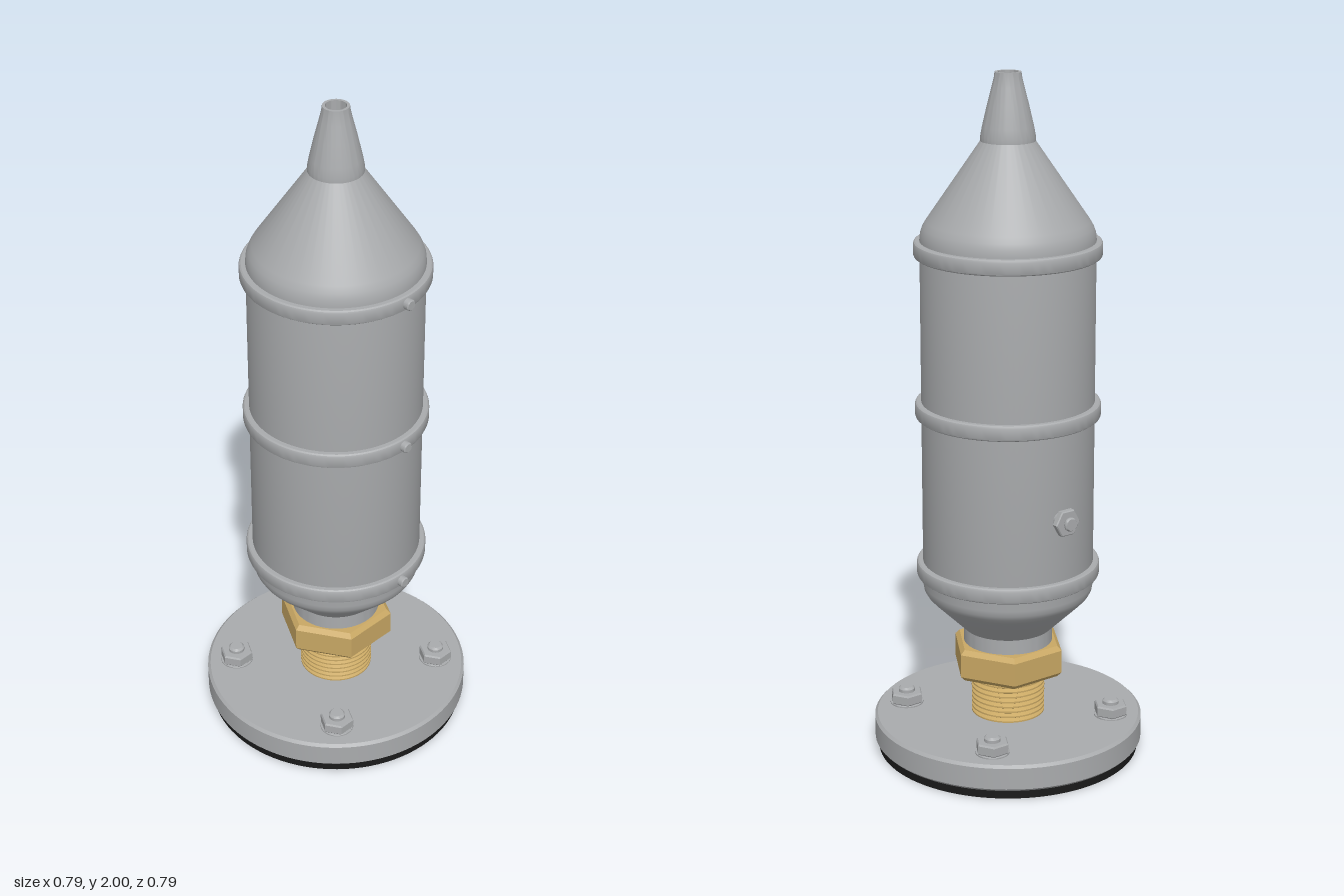
import * as THREE from 'three';
import { toCreasedNormals } from 'three/addons/utils/BufferGeometryUtils.js';

const steel = new THREE.MeshStandardMaterial({ color: 0xa9abad });
steel.name = 'steel grey';
const brass = new THREE.MeshStandardMaterial({ color: 0xc9a864 });
brass.name = 'brass';
const rubber = new THREE.MeshStandardMaterial({ color: 0x1a1a1a });
rubber.name = 'black rubber';

// Turned part from [radius, y] pairs, outside surface running upward
function turned(name, profile, material, segments = 64) {
  const points = profile.map(([r, y]) => new THREE.Vector2(r, y));
  const lathe = new THREE.LatheGeometry(points, segments);
  const mesh = new THREE.Mesh(toCreasedNormals(lathe, 0.5), material);
  mesh.name = name;
  return mesh;
}

// Solid disc or, with few segments, a nut, with chamfered rims; base on y = 0
function chamfered(name, r, h, c, material, segments = 64) {
  return turned(name, [[0, 0], [r - c, 0], [r, c], [r, h - c], [r - c, h], [0, h]], material, segments);
}

// Hexagonal nut, corners on the z axis; chamfer is wide and shallow
function hexNut(name, r, h, material) {
  const e = h * 0.14, k = r * 0.92;
  return turned(name, [[0, 0], [k, 0], [r, e], [r, h - e], [k, h], [0, h]], material, 6);
}

export function createModel() {
  const model = new THREE.Group();
  model.name = 'canister';

  // Base: rubber pad and flange
  model.add(turned('rubberPad', [[0, 0], [0.385, 0], [0.385, 0.028], [0, 0.028]], rubber, 96));
  const flange = chamfered('flange', 0.396, 0.08, 0.008, steel, 96);
  flange.position.y = 0.025;
  model.add(flange);

  // Four nuts with studs on the flange
  for (const x of [-0.217, 0.217]) {
    for (const z of [-0.217, 0.217]) {
      const bolt = new THREE.Group();
      bolt.name = 'flangeBolt';
      bolt.add(chamfered('washer', 0.049, 0.006, 0.001, steel, 32));
      const nut = hexNut('nut', 0.05, 0.034, steel);
      nut.position.y = 0.004;
      const stud = chamfered('stud', 0.024, 0.053, 0.006, steel, 24);
      bolt.add(nut, stud);
      bolt.position.set(x, 0.104, z);
      model.add(bolt);
    }
  }

  // Threaded brass pipe
  const thread = [[0, 0.1]];
  const turns = 9, y0 = 0.1, pitch = 0.14 / turns;
  for (let i = 0; i < turns; i++) {
    const y = y0 + i * pitch;
    thread.push([0.097, y], [0.108, y + pitch * 0.35], [0.108, y + pitch * 0.65]);
  }
  thread.push([0.097, 0.24], [0, 0.24]);
  model.add(turned('threadedPipe', thread, brass));

  // Large brass nut
  const collar = hexNut('brassNut', 0.171, 0.096, brass);
  collar.position.y = 0.235;
  model.add(collar);

  // Shell: neck, lower taper, barrel, upper cone and bored nozzle
  model.add(turned('shell', [
    [0, 0.325], [0.13, 0.325], [0.13, 0.375],
    [0.222, 0.465], [0.237, 0.481], [0.245, 0.495], [0.248, 0.512],
    [0.248, 1.535], [0.246, 1.553], [0.24, 1.57], [0.23, 1.587],
    [0.077, 1.81], [0.077, 1.823], [0.072, 1.85], [0.058, 1.91], [0.045, 1.96], [0.039, 1.985],
    [0.037, 2], [0.029, 2], [0.029, 1.9], [0, 1.9],
  ], steel, 96));

  // Three clamping bands, each with a screw on the left
  for (const y of [0.54, 1.02, 1.486]) {
    const band = new THREE.Group();
    band.name = 'band';
    band.add(turned('bandRing', [
      [0.246, 0], [0.26, 0], [0.264, 0.003], [0.266, 0.008],
      [0.266, 0.037], [0.264, 0.042], [0.26, 0.045], [0.246, 0.045],
    ], steel, 96));
    const screw = chamfered('bandScrew', 0.016, 0.034, 0.003, steel, 24);
    screw.rotation.z = -Math.PI / 2;
    screw.position.set(0.249, 0.0225, 0);
    band.add(screw);
    band.position.y = y;
    model.add(band);
  }

  // Side fitting on the right
  const fitting = new THREE.Group();
  fitting.name = 'sideFitting';
  const fittingNut = hexNut('fittingNut', 0.042, 0.02, steel);
  fittingNut.position.y = 0.02;
  fitting.add(chamfered('fittingStem', 0.026, 0.03, 0.002, steel, 24), fittingNut);
  fitting.add(turned('fittingCap', [
    [0, 0.03], [0.014, 0.03], [0.014, 0.043], [0.018, 0.044], [0.02, 0.047],
    [0.02, 0.052], [0.017, 0.056], [0, 0.056],
  ], steel, 24));
  fitting.rotation.z = Math.PI / 2;
  fitting.position.set(-0.243, 0.77, 0);
  model.add(fitting);

  return model;
}
